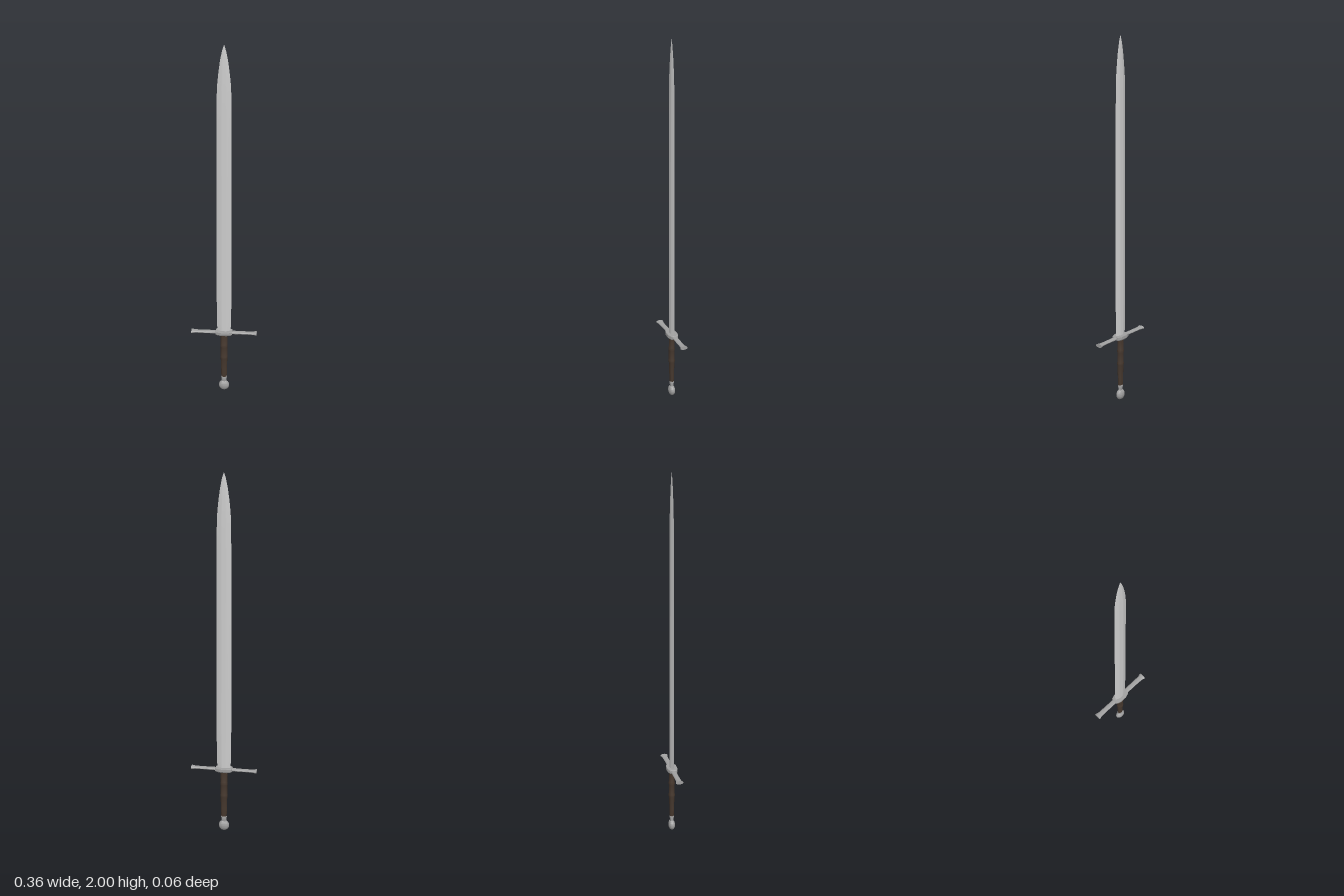
import * as THREE from 'three';
import { toCreasedNormals } from 'three/addons/utils/BufferGeometryUtils.js';

const steel = new THREE.MeshStandardMaterial({ color: 0xcccccc });
const darkSteel = new THREE.MeshStandardMaterial({ color: 0xa0a0a0 });
const leather = new THREE.MeshStandardMaterial({ color: 0x46382e });

// Joins [x, z] outlines stacked at heights y into a closed solid.
function loft(levels, outline, crease = 0.6) {
  const pos = [], idx = [];
  const rings = levels.map((l) => outline(l));
  const n = rings[0].length;
  rings.forEach((ring, i) => ring.forEach(([x, z]) => pos.push(x, levels[i][0], z)));
  for (let i = 0; i < rings.length - 1; i++) {
    for (let j = 0; j < n; j++) {
      const a = i * n + j, b = i * n + (j + 1) % n;
      idx.push(a, a + n, b, b, a + n, b + n);
    }
  }
  const last = rings.length - 1;
  [0, last].forEach((i) => {
    const c = pos.length / 3;
    pos.push(0, levels[i][0], 0);
    for (let j = 0; j < n; j++) {
      const a = i * n + j, b = i * n + (j + 1) % n;
      if (i === 0) idx.push(c, a, b);
      else idx.push(c, b, a);
    }
  });
  const g = new THREE.BufferGeometry();
  g.setAttribute('position', new THREE.Float32BufferAttribute(pos, 3));
  g.setIndex(idx);
  return toCreasedNormals(g, crease);
}

// Elliptical outline; level = [y, half width, half depth]
const ellipse = (sides) => ([, w, d]) => Array.from({ length: sides }, (_, j) => {
  const a = ((j + 0.5) / sides) * Math.PI * 2;
  return [w * Math.cos(a), d * Math.sin(a)];
});

// Lens-shaped blade outline with a shallow central groove; level = [y, half width, half depth, groove]
function bladeOutline([, w, d, groove]) {
  const us = [1, 0.8, 0.6, 0.4, 0.24, 0.12, 0, -0.12, -0.24, -0.4, -0.6, -0.8];
  const depth = (u) => d * (1 - Math.abs(u) ** 1.5) * (1 - groove * Math.max(0, 1 - (u / 0.24) ** 2));
  return [...us.map((u) => [u * w, depth(u)]), ...us.map((u) => [-u * w, -depth(u)])];
}

function add(group, name, geometry, material) {
  const mesh = new THREE.Mesh(geometry, material);
  mesh.name = name;
  group.add(mesh);
  return mesh;
}

export function createModel() {
  const sword = new THREE.Group();
  sword.name = 'sword';

  // Blade: nearly parallel edges, curving in to the point
  add(sword, 'blade', loft([
    [0.37, 0.035, 0.012, 0.2], [0.39, 0.036, 0.012, 0.2], [0.42, 0.039, 0.012, 0.2],
    [0.6, 0.04, 0.012, 0.2], [1.2, 0.039, 0.012, 0.2], [1.6, 0.038, 0.011, 0.15],
    [1.74, 0.037, 0.01, 0], [1.8, 0.034, 0.009, 0], [1.86, 0.028, 0.0075, 0],
    [1.92, 0.02, 0.0055, 0], [1.97, 0.01, 0.003, 0], [2, 0.0005, 0.0005, 0],
  ], bladeOutline, 0.5), steel);

  // Crossguard: slim bar with flared ends
  const bar = loft([
    [-0.18, 0.01, 0.021], [-0.174, 0.0095, 0.019], [-0.16, 0.0075, 0.015], [-0.12, 0.007, 0.014],
    [0, 0.009, 0.014],
    [0.12, 0.007, 0.014], [0.16, 0.0075, 0.015], [0.174, 0.0095, 0.019], [0.18, 0.01, 0.021],
  ], ellipse(16));
  bar.rotateZ(-Math.PI / 2);
  add(sword, 'crossguard', bar, darkSteel).position.y = 0.37;

  // Faceted block where blade, guard and grip meet
  const corners = [[0.046, 0.019], [0.02, 0.028], [-0.02, 0.028], [-0.046, 0.019],
    [-0.046, -0.019], [-0.02, -0.028], [0.02, -0.028], [0.046, -0.019]];
  add(sword, 'guardBlock', loft([[0.357, 0.82], [0.364, 1], [0.378, 1], [0.381, 0.96]],
    ([, s]) => corners.map(([x, z]) => [x * s, z * s]), 0.3), darkSteel);

  // Leather grip, slightly swollen, with raised bands
  add(sword, 'grip', loft([
    [0.08, 0.015, 0.011], [0.14, 0.017, 0.013], [0.2, 0.0185, 0.015], [0.207, 0.02, 0.017],
    [0.217, 0.02, 0.017], [0.224, 0.0185, 0.0155], [0.276, 0.0185, 0.0155], [0.282, 0.02, 0.017],
    [0.29, 0.02, 0.017], [0.296, 0.0185, 0.015], [0.34, 0.019, 0.014], [0.36, 0.02, 0.014],
  ], ellipse(20), 0.5), leather);

  // Pommel: flattened ball with a short neck
  const levels = [];
  for (let i = 0; i <= 14; i++) {
    const a = -Math.PI / 2 + (i / 14) * Math.PI * 0.84;
    const c = Math.max(Math.cos(a), 0.01);
    levels.push([0.03 + 0.03 * Math.sin(a), 0.029 * c, 0.018 * c]);
  }
  levels.push([0.066, 0.013, 0.01], [0.084, 0.0165, 0.0125], [0.087, 0.0155, 0.0115]);
  add(sword, 'pommel', loft(levels, ellipse(24), 0.7), darkSteel);

  return sword;
}
